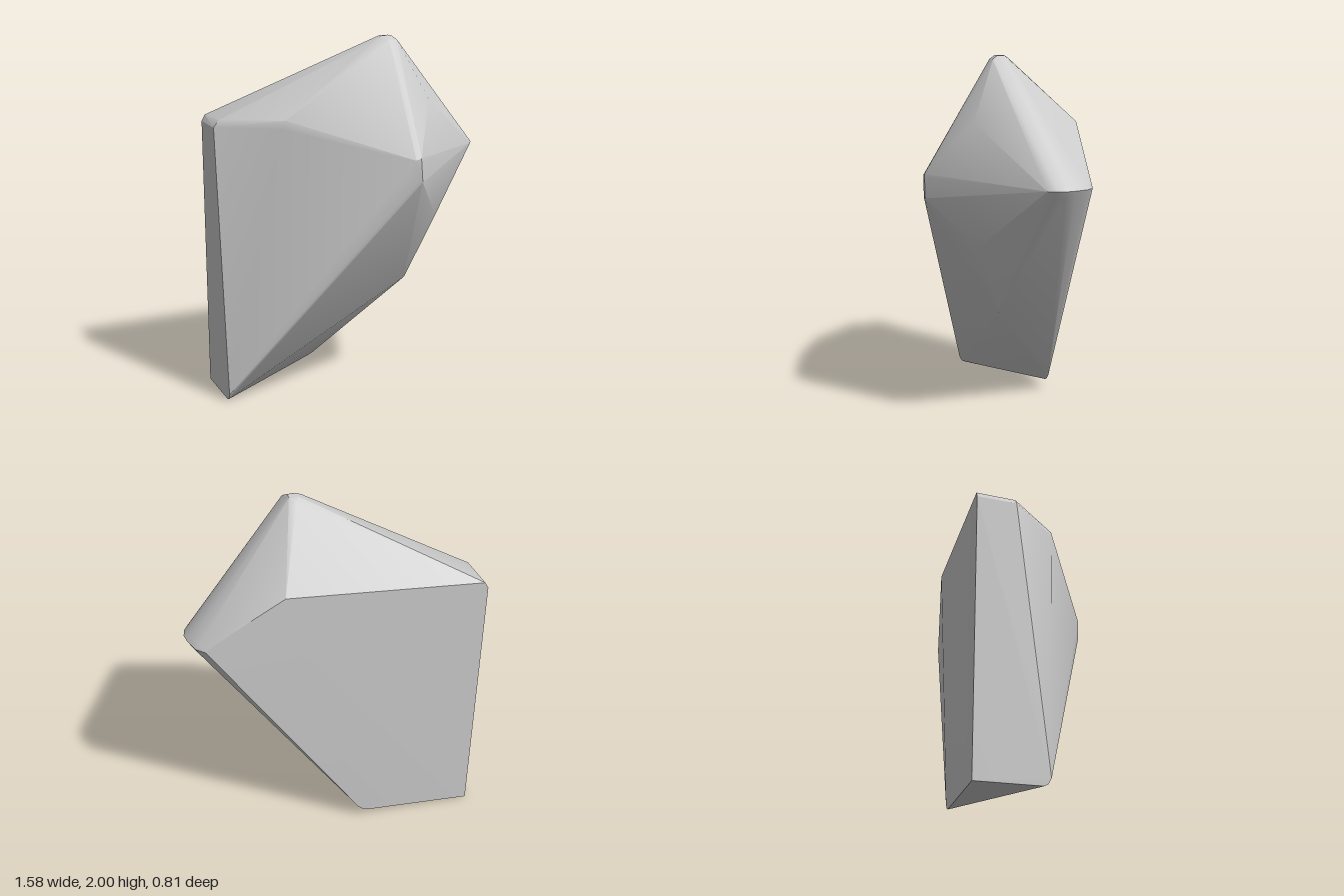
import * as THREE from 'three';
import { ConvexGeometry } from 'three/addons/geometries/ConvexGeometry.js';
import { toCreasedNormals } from 'three/addons/utils/BufferGeometryUtils.js';

const point = (p) => new THREE.Vector3(...p);

export function createModel() {
  // worn peak: a small cap with a slightly wider ring below
  const peak = [
    [0.13, 2, 0], [0.18, 2, 0], [0.18, 2, -0.04], [0.13, 2, -0.04],
    [0.1, 1.985, 0], [0.15, 1.98, 0.035], [0.2, 1.98, 0.03], [0.205, 1.975, -0.04], [0.15, 1.985, -0.07],
  ];

  // front ridge, where the faces meet in a short vertical edge
  const ridge = [
    [0.14, 1.37, 0.4], [0.17, 1.38, 0.4], [0.15, 1.25, 0.4], [0.18, 1.25, 0.4], [0.19, 1.36, 0.385],
  ];

  // facet corners on the front right
  const corners = [
    [0.33, 1.66, 0.17], [0.38, 1.0, 0.17], [0.28, 0.64, 0.02], [0.265, 0.61, 0.015],
  ];

  // flat left side and worn upper left shoulder
  const leftSide = [
    [-0.79, 0.04, -0.035], [-0.79, 0.01, -0.05], [-0.79, 1.53, -0.41], [-0.785, 1.52, -0.2],
    [-0.77, 1.565, -0.41], [-0.755, 1.56, -0.2], [-0.47, 1.575, 0.07], [-0.49, 1.53, 0.065],
  ];

  // flat back and base
  const backAndBase = [
    [0.29, 1.65, -0.41], [-0.79, 0, -0.41], [-0.79, 0, -0.07],
    [-0.17, 0.05, -0.41], [-0.14, 0.065, -0.41], [-0.115, 0.09, -0.41],
  ];

  // rounded right tip: an arc in plan, bevelled above and below
  const tip = [];
  for (const [x, z] of [[0.7, -0.35], [0.745, -0.31], [0.775, -0.23], [0.785, -0.18], [0.775, -0.13], [0.75, -0.09]]) {
    tip.push([x, 1.35, z], [x - 0.02, 1.375, z], [x - 0.02, 1.315, z]);
  }

  const points = [...peak, ...ridge, ...corners, ...leftSide, ...backAndBase, ...tip].map(point);
  const geometry = toCreasedNormals(new ConvexGeometry(points), 0.5);
  const rock = new THREE.Mesh(geometry, new THREE.MeshStandardMaterial({ color: 0xcccccc }));
  rock.name = 'rock';

  const model = new THREE.Group();
  model.name = 'boulder';
  model.add(rock);
  return model;
}
